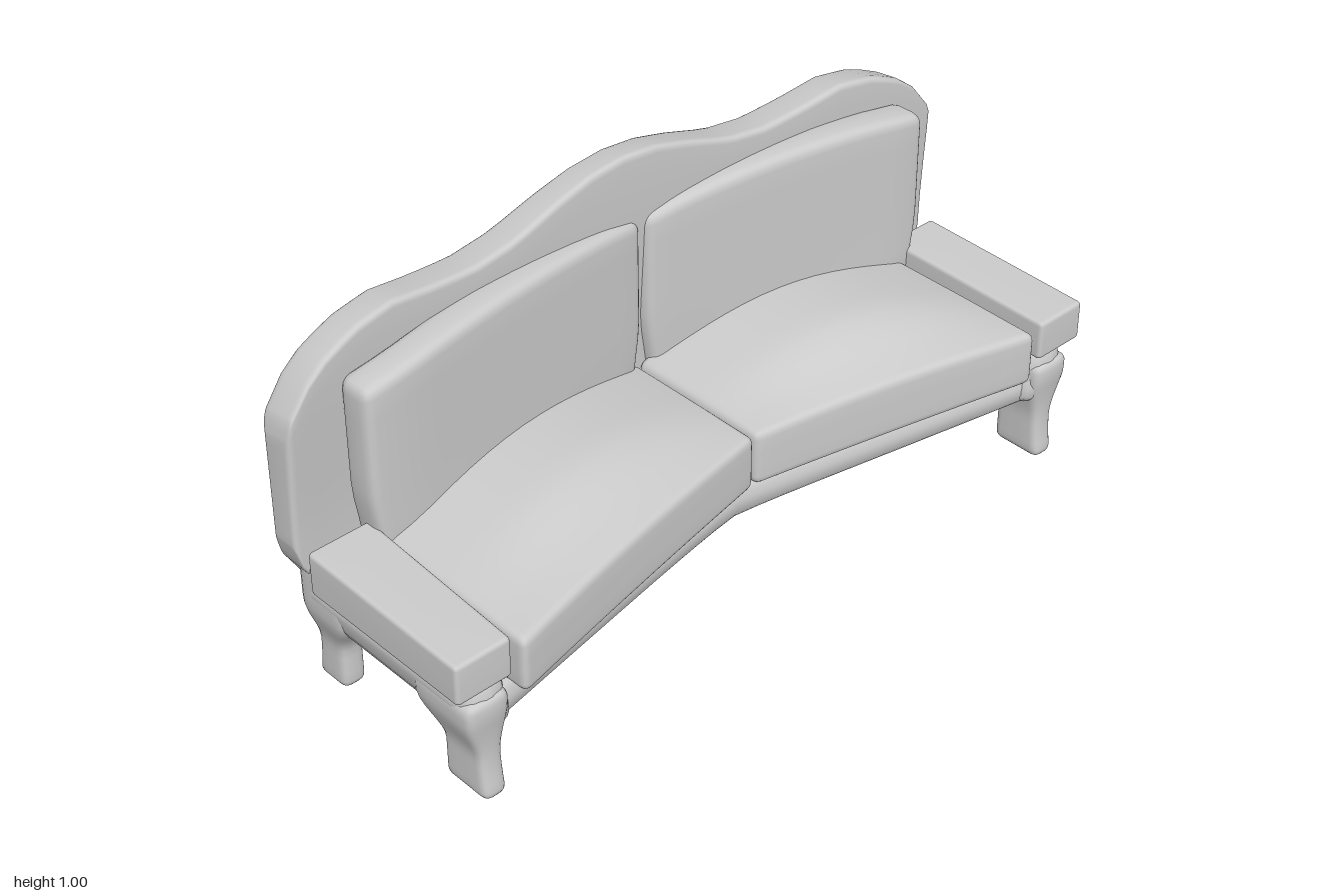
import * as THREE from 'three';
import { mergeVertices } from 'three/addons/utils/BufferGeometryUtils.js';

const material = new THREE.MeshStandardMaterial({ color: 0xcccccc });
const { lerp, clamp, smoothstep } = THREE.MathUtils;

// Grid line i of n along an axis of half size h: dense in the rounded border r.
function gridLine(i, n, h, r) {
  if (i > n / 2) return -gridLine(n - i, n, h, r);
  if (i < 2) return -h + i * 0.45 * r;
  return lerp(-h + r, h - r, (i - 2) / (n - 4));
}

// Rounded, finely divided box from min to max, then bent by warp(point).
function softBox(name, min, max, r, segs, warp) {
  const geo = new THREE.BoxGeometry(1, 1, 1, ...segs);
  const pos = geo.attributes.position;
  const half = [0, 1, 2].map(k => (max[k] - min[k]) / 2);
  const p = new THREE.Vector3(), inner = new THREE.Vector3();
  for (let i = 0; i < pos.count; i++) {
    p.fromBufferAttribute(pos, i);
    for (let k = 0; k < 3; k++) {
      const c = gridLine(Math.round((p.getComponent(k) + 0.5) * segs[k]), segs[k], half[k], r);
      p.setComponent(k, c);
      inner.setComponent(k, clamp(c, r - half[k], half[k] - r));
    }
    p.sub(inner).setLength(r).add(inner);
    for (let k = 0; k < 3; k++) p.setComponent(k, p.getComponent(k) + (min[k] + max[k]) / 2);
    if (warp) warp(p);
    pos.setXYZ(i, p.x, p.y, p.z);
  }
  geo.deleteAttribute('normal');
  geo.deleteAttribute('uv');
  const smooth = mergeVertices(geo, 1e-5);
  smooth.computeVertexNormals();
  const mesh = new THREE.Mesh(smooth, material);
  mesh.name = name;
  return mesh;
}

// Straight interpolation through [x, value] pairs.
function along(table, x) {
  for (let i = 1; i < table.length; i++) {
    const [x0, v0] = table[i - 1], [x1, v1] = table[i];
    if (x <= x1) return lerp(v0, v1, (x - x0) / (x1 - x0));
  }
  return table[table.length - 1][1];
}

const backTop = [[0, 1], [0.1, 0.99], [0.2, 0.963], [0.33, 0.92], [0.45, 0.905], [0.57, 0.915],
  [0.69, 0.932], [0.8, 0.915], [0.9, 0.87], [0.965, 0.81], [0.99, 0.76], [1, 0.72]];
const backBottom = [[0, 0.22], [0.85, 0.23], [0.93, 0.27], [0.98, 0.35], [1, 0.42]];

// Tall wavy backrest, bulging to the rear in the middle.
function backrest() {
  return softBox('backrest', [-1, 0, -0.05], [1, 0.7, 0.05], 0.018, [44, 18, 6], p => {
    const ax = Math.abs(p.x), v = p.y / 0.7, w = p.z / 0.1 + 0.5;
    const y = lerp(along(backBottom, ax), along(backTop, ax), v);
    const taper = 0.07 * Math.pow(clamp((y - 0.43) / 0.57, 0, 1), 1.4);
    const rear = -0.258 - (1 - ax * ax) * (0.102 - taper);
    const front = -0.2 + 0.045 * ax * ax - 0.02 * (1 - smoothstep(y, 0.4, 0.9));
    p.z = lerp(rear, front, w);
    p.y = y - 0.015 * (1 - w) * v;
  });
}

// Curved seat base with a rounded rim.
function seatBase() {
  return softBox('seatBase', [-0.92, 0.165, -0.3], [0.92, 0.265, 0.3], 0.04, [28, 6, 10], p => {
    const ax = Math.abs(p.x);
    const rear = -0.378 + 0.14 * ax * ax;
    const front = 0.18 + 0.19 * Math.pow(ax, 1.2);
    p.y -= 0.008 * Math.sin(Math.PI * Math.min(1, ax / 0.9));
    p.z = lerp(rear, front, p.z / 0.6 + 0.5);
  });
}

// Crowned seat cushion whose front edge sweeps forward to the outside.
function seatCushion(x0, x1) {
  return softBox('seatCushion', [x0, 0.25, -0.25], [x1, 0.4, 0.25], 0.022, [18, 7, 14], p => {
    const u = clamp((p.x - x0) / (x1 - x0), 0, 1), d = Math.abs(p.x - 0.045);
    const w = p.z / 0.5 + 0.5, v = (p.y - 0.25) / 0.15;
    p.z = lerp(-0.22 + 0.07 * d, 0.19 + 0.2 * d + 0.02 * d * d, w);
    p.y += Math.sin(Math.PI * u) * (0.012 + 0.065 * smoothstep(1 - w, 0, 0.5)) * v;
  });
}

// Back cushion with an arched top, angled in towards the middle.
function backCushion(x0, x1) {
  return softBox('backCushion', [x0, 0.36, -0.05], [x1, 0.81, 0.05], 0.028, [18, 12, 6], p => {
    const u = clamp((p.x - x0) / (x1 - x0), 0, 1), d = Math.abs(p.x - 0.045);
    const v = (p.y - 0.36) / 0.45;
    p.y += 0.037 * Math.pow(Math.sin(Math.PI * u), 0.6) * v;
    p.x += (0.5 - u) * 0.04 * (1 - smoothstep(v, 0, 0.4));
    p.z += -0.24 + 0.11 * Math.min(1, d / 0.78);
  });
}

// Leg with a thin shaft that swells into the side rail.
function leg(name, side, z0, z1, top, inward) {
  const zc = (z0 + z1) / 2;
  return softBox(name, [0.87, 0, z0], [0.935, top, z1], 0.022, [6, 18, 7], p => {
    const f = smoothstep(p.y, 0.11, 0.24);
    p.x = 0.9025 + (p.x - 0.9025) * (1 + f * 0.8) + 0.006 * f;
    if ((p.z - zc) * inward > 0) p.z += inward * 0.06 * f;
    else p.z += inward * 0.012 * Math.sin(Math.PI * clamp(p.y / 0.24, 0, 1));
    p.x *= side;
  });
}

export function createModel() {
  const sofa = new THREE.Group();
  sofa.name = 'sofa';
  sofa.add(backrest(), seatBase());
  sofa.add(seatCushion(-0.82, 0.043), seatCushion(0.047, 0.84));
  sofa.add(backCushion(-0.85, 0.042), backCushion(0.056, 0.885));

  for (const side of [-1, 1]) {
    const span = (a, b) => (side > 0 ? [a, b] : [-b, -a]);

    // Flat armrest, slightly wider and higher towards the rear.
    const [a0, a1] = span(0.845, 0.997);
    sofa.add(softBox('armrest', [a0, 0.32, -0.138], [a1, 0.428, 0.37], 0.012, [6, 6, 8], p => {
      const rear = (0.37 - p.z) / 0.508;
      if (p.y > 0.37) p.y += 0.01 * rear;
      if (Math.abs(p.x) < 0.92 && side < 0) p.x += 0.02 * rear;
    }));

    // Rounded side rail under the armrest.
    const [r0, r1] = span(0.84, 0.968);
    sofa.add(softBox('sideRail', [r0, 0.165, -0.235], [r1, 0.335, 0.362], 0.055, [8, 8, 14], p => {
      p.x -= side * 0.025 * (1 - smoothstep(p.y, 0.16, 0.28));
    }));

    // Turned mesh orientation is kept by bending each leg on its own side.
    for (const l of [leg('frontLeg', 1, 0.225, 0.37, 0.29, -1), leg('backLeg', 1, -0.235, -0.13, 0.37, 1)]) {
      if (side < 0) l.scale.x = -1;
      sofa.add(l);
    }
  }
  return sofa;
}
